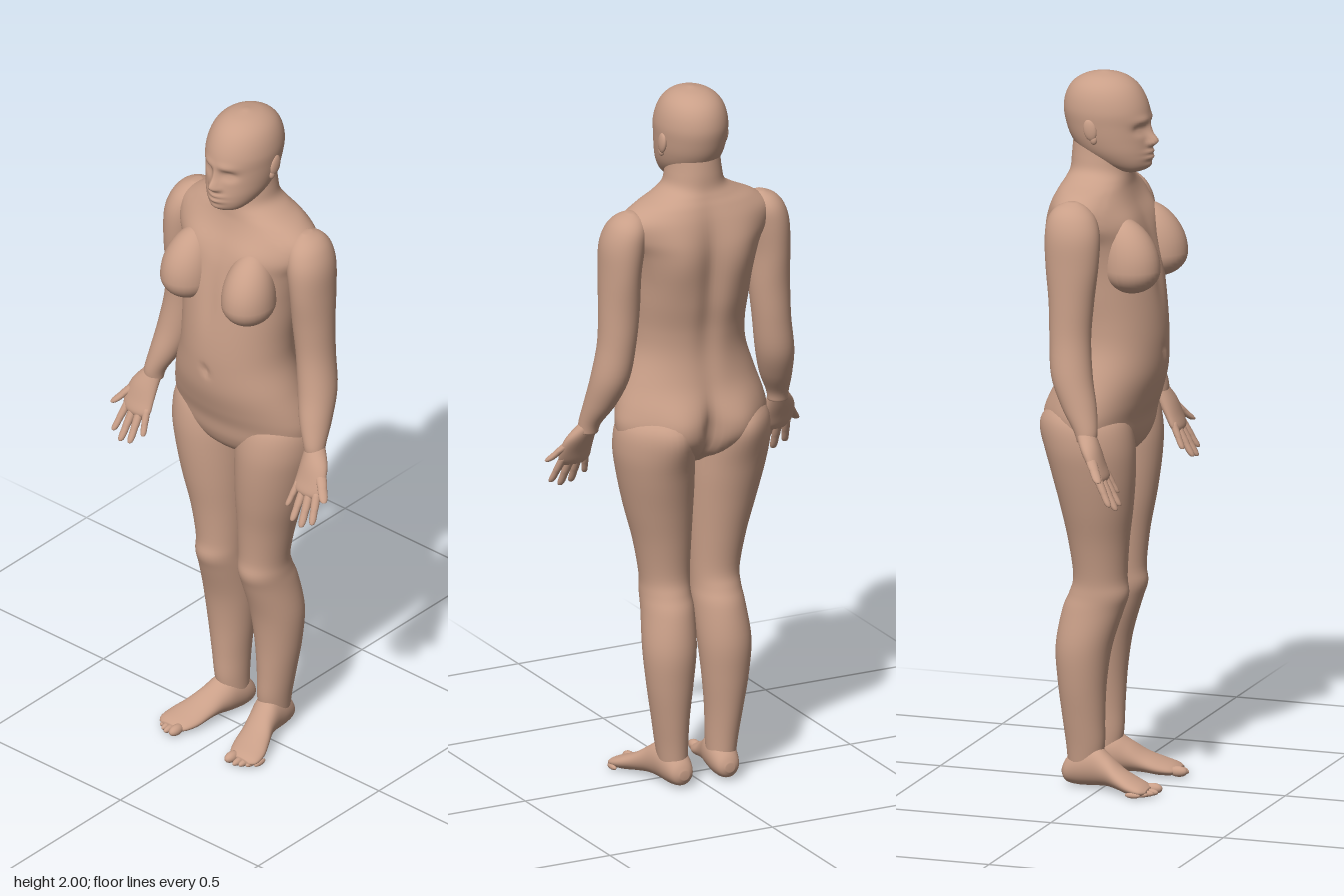
import * as THREE from 'three';

const skin = new THREE.MeshStandardMaterial({ color: 0xc99f88 });
skin.name = 'skin';

// Smooth bell-shaped falloff
const bell = (d, width) => Math.exp(-((d / width) ** 2));

// Smooth loft through elliptical sections [y, centreX, radiusX, zFront, zBack], listed upwards.
// side = -1 mirrors it; deform(point) reshapes each vertex before mirroring.
function loft(sections, { side = 1, deform, around = 40, steps = 5 } = {}) {
  const pos = [], index = [];
  const at = i => sections[Math.max(0, Math.min(sections.length - 1, i))];
  const rows = (sections.length - 1) * steps;
  const p = new THREE.Vector3();
  const add = (x, y, z) => {
    p.set(x, y, z);
    if (deform) deform(p);
    pos.push(p.x * side, p.y, p.z);
  };
  const tri = (a, b, c) => (side > 0 ? index.push(a, b, c) : index.push(a, c, b));
  for (let r = 0; r <= rows; r++) {
    const i = Math.min(Math.floor(r / steps), sections.length - 2), t = r / steps - i;
    const [y, cx, rx, zf, zb] = at(i).map((b, k) => {
      const a = at(i - 1)[k], c = at(i + 1)[k], d = at(i + 2)[k];
      return b + 0.5 * t * (c - a + t * (2 * a - 5 * b + 4 * c - d + t * (3 * (b - c) + d - a)));
    });
    for (let j = 0; j < around; j++) {
      const a = (j / around) * Math.PI * 2;
      add(cx + rx * Math.sin(a), y, (zf + zb) / 2 + ((zf - zb) / 2) * Math.cos(a));
    }
  }
  for (let r = 0; r < rows; r++) {
    for (let j = 0; j < around; j++) {
      const a = r * around + j, b = r * around + ((j + 1) % around);
      tri(a, b, a + around);
      tri(b, b + around, a + around);
    }
  }
  // End caps
  const bottom = pos.length / 3, first = sections[0], last = at(sections.length);
  add(first[1], first[0], (first[3] + first[4]) / 2);
  add(last[1], last[0], (last[3] + last[4]) / 2);
  for (let j = 0; j < around; j++) {
    const k = (j + 1) % around;
    tri(bottom, k, j);
    tri(bottom + 1, rows * around + j, rows * around + k);
  }
  const geo = new THREE.BufferGeometry();
  geo.setAttribute('position', new THREE.Float32BufferAttribute(pos, 3));
  geo.setIndex(index);
  geo.computeVertexNormals();
  return geo;
}

// Hips, back and belly relief, shared by torso and legs
function bodyRelief(p) {
  const x = Math.abs(p.x), { y, z } = p;
  if (z < -0.03) {
    const back = Math.min(1, (-0.03 - z) / 0.06);
    p.z -= back * 0.036 * bell(x - 0.095, 0.08) * bell(y - 1.04, 0.085);
    p.z += back * 0.03 * bell(x, 0.022) * bell(y - 1.0, 0.09);
    p.z += back * 0.016 * bell(x, 0.035) * bell(y - 1.42, 0.22);
    p.z -= back * 0.022 * bell(x - 0.1, 0.07) * bell(y - 1.54, 0.11);
  } else if (z > 0.03) {
    p.z -= 0.01 * bell(x, 0.012) * bell(y - 1.23, 0.014);
    p.z -= 0.008 * bell(x, 0.03) * bell(y - 1.47, 0.1);
    p.z += 0.012 * bell(x - 0.1, 0.06) * bell(y - 1.6, 0.05);
  }
}

// Brow, eye sockets, nose, lips and chin
function faceRelief(p) {
  if (p.z < 0.03) return;
  const x = Math.abs(p.x), y = p.y;
  p.z += 0.006 * bell(x - 0.03, 0.03) * bell(y - 1.875, 0.013)
    - 0.013 * bell(x - 0.036, 0.02) * bell(y - 1.85, 0.014)
    + 0.005 * bell(x - 0.036, 0.012) * bell(y - 1.848, 0.008)
    + 0.022 * bell(x, 0.014) * bell(y - 1.815, 0.016)
    + 0.01 * bell(x, 0.01) * bell(y - 1.84, 0.025)
    + 0.008 * bell(x - 0.013, 0.009) * bell(y - 1.808, 0.008)
    + 0.009 * bell(x, 0.026) * (bell(y - 1.785, 0.007) + bell(y - 1.769, 0.007))
    + 0.006 * bell(x, 0.025) * bell(y - 1.745, 0.012);
}

const torso = [
  [0.925, 0, 0.08, 0.04, -0.06], [0.96, 0, 0.16, 0.08, -0.11], [1.0, 0, 0.21, 0.1, -0.135],
  [1.05, 0, 0.224, 0.11, -0.142], [1.1, 0, 0.216, 0.127, -0.142], [1.17, 0, 0.194, 0.146, -0.132],
  [1.25, 0, 0.17, 0.152, -0.125], [1.32, 0, 0.166, 0.15, -0.13], [1.4, 0, 0.172, 0.142, -0.145],
  [1.48, 0, 0.18, 0.13, -0.152], [1.55, 0, 0.197, 0.112, -0.155], [1.6, 0, 0.225, 0.092, -0.152],
  [1.645, 0, 0.225, 0.07, -0.145], [1.68, 0, 0.18, 0.058, -0.135], [1.705, 0, 0.125, 0.054, -0.125],
  [1.73, 0, 0.088, 0.052, -0.117], [1.77, 0, 0.077, 0.05, -0.114], [1.83, 0, 0.07, 0.04, -0.108],
];
const head = [
  [1.727, 0, 0.03, 0.08, 0.03], [1.736, 0, 0.048, 0.098, 0.0], [1.755, 0, 0.066, 0.109, -0.05],
  [1.785, 0, 0.082, 0.11, -0.092], [1.82, 0, 0.091, 0.107, -0.117], [1.86, 0, 0.096, 0.105, -0.131],
  [1.9, 0, 0.098, 0.103, -0.137], [1.94, 0, 0.09, 0.088, -0.129], [1.97, 0, 0.073, 0.065, -0.109],
  [1.99, 0, 0.045, 0.032, -0.075], [2.0, 0, 0.006, -0.014, -0.028],
];
const leg = [
  [0.05, 0.073, 0.038, -0.01, -0.1], [0.12, 0.077, 0.044, 0.003, -0.105], [0.2, 0.082, 0.052, 0.005, -0.114],
  [0.3, 0.085, 0.065, 0.01, -0.125], [0.4, 0.084, 0.074, 0.025, -0.131], [0.5, 0.078, 0.071, 0.056, -0.115],
  [0.55, 0.077, 0.068, 0.072, -0.095], [0.6, 0.077, 0.069, 0.067, -0.083], [0.7, 0.085, 0.08, 0.075, -0.094],
  [0.8, 0.097, 0.095, 0.09, -0.112], [0.9, 0.108, 0.107, 0.1, -0.133], [0.98, 0.115, 0.112, 0.1, -0.14],
  [1.05, 0.118, 0.1, 0.085, -0.13], [1.1, 0.115, 0.06, 0.05, -0.09],
];
// Foot sections run heel to toe: [z, centreX, radiusX, -bottom, -top]
const foot = [
  [-0.118, 0.07, 0.014, -0.03, -0.055], [-0.105, 0.071, 0.032, -0.012, -0.08], [-0.07, 0.073, 0.042, -0.006, -0.11],
  [-0.02, 0.079, 0.044, -0.009, -0.122], [0.02, 0.09, 0.044, -0.013, -0.098], [0.06, 0.105, 0.049, -0.01, -0.069],
  [0.1, 0.118, 0.054, -0.004, -0.05], [0.135, 0.127, 0.048, -0.004, -0.036], [0.152, 0.128, 0.03, -0.01, -0.026],
];
const arm = [
  [1.03, 0.292, 0.028, 0.056, 0.002], [1.06, 0.288, 0.031, 0.058, -0.01], [1.12, 0.27, 0.044, 0.048, -0.05],
  [1.2, 0.253, 0.053, 0.03, -0.085], [1.3, 0.238, 0.053, 0.02, -0.095], [1.4, 0.231, 0.056, 0.026, -0.1],
  [1.5, 0.229, 0.056, 0.038, -0.11], [1.58, 0.222, 0.06, 0.04, -0.115], [1.63, 0.212, 0.055, 0.026, -0.11],
  [1.66, 0.205, 0.038, 0.0, -0.09], [1.675, 0.2, 0.01, -0.03, -0.06],
];
const palm = [
  [0.925, 0.309, 0.03, 0.093, 0.073], [0.94, 0.309, 0.046, 0.096, 0.062], [0.97, 0.311, 0.048, 0.086, 0.046],
  [1.01, 0.307, 0.043, 0.073, 0.022], [1.045, 0.295, 0.03, 0.057, 0.004], [1.06, 0.289, 0.024, 0.048, 0.002],
];
// Digits: [base, tip, radius]
const digits = {
  thumb: [[0.325, 1.01, 0.045], [0.383, 0.938, 0.095], 0.014],
  indexFinger: [[0.342, 0.95, 0.075], [0.36, 0.868, 0.118], 0.011],
  middleFinger: [[0.319, 0.945, 0.077], [0.328, 0.851, 0.126], 0.0115],
  ringFinger: [[0.297, 0.945, 0.077], [0.295, 0.857, 0.125], 0.011],
  littleFinger: [[0.276, 0.955, 0.075], [0.262, 0.884, 0.108], 0.0095],
};
function digit([base, tip, r], side) {
  const rows = [[1, 0.3], [0.97, 0.65], [0.85, 0.9], [0.6, 0.95], [0.45, 1.05], [0, 1.1]];
  return loft(rows.map(([t, k]) => {
    const [x, y, z] = base.map((b, i) => b + (tip[i] - b) * t);
    return [y, x, r * k, z + r * k, z - r * k];
  }), { side, around: 14, steps: 3 });
}

// Rounded chest form, stretched and sloped towards the collarbone
function breastGeometry() {
  const geo = new THREE.SphereGeometry(1, 32, 24);
  const p = geo.attributes.position;
  for (let i = 0; i < p.count; i++) {
    const y = p.getY(i), up = Math.max(0, y);
    p.setXYZ(i, p.getX(i) * 0.074, y * (y > 0 ? 0.14 : 0.068), p.getZ(i) * 0.083 - 0.03 * up * up);
  }
  geo.computeVertexNormals();
  return geo;
}

export function createModel() {
  const model = new THREE.Group();
  model.name = 'humanFigure';
  const add = (name, geo, parent = model) => {
    const mesh = new THREE.Mesh(geo, skin);
    mesh.name = name;
    parent.add(mesh);
    return mesh;
  };
  const ball = (name, parent, position, scale) => {
    const mesh = add(name, new THREE.SphereGeometry(1, 20, 14), parent);
    mesh.position.set(...position);
    mesh.scale.set(...scale);
    return mesh;
  };

  add('torsoAndNeck', loft(torso, { deform: bodyRelief, around: 96, steps: 6 }));
  add('head', loft(head, { deform: faceRelief, around: 96, steps: 8 }));

  for (const [word, s] of [['left', 1], ['right', -1]]) {
    const half = new THREE.Group();
    half.name = word + 'Limbs';
    model.add(half);
    add(word + 'Leg', loft(leg, { side: s, deform: bodyRelief }), half);
    add(word + 'Foot', loft(foot, { side: s }).rotateX(Math.PI / 2), half);
    add(word + 'Arm', loft(arm, { side: s }), half);
    add(word + 'Palm', loft(palm, { side: s, around: 28 }), half);
    for (const name in digits) add(word + '_' + name, digit(digits[name], s), half);

    // Toes, big to little
    for (let i = 0; i < 5; i++) {
      const r = i ? 0.0105 - i * 0.0006 : 0.015;
      const x = i ? 0.109 + i * 0.0155 : 0.101;
      ball(word + 'Toe', half, [s * x, r + 0.004, 0.154 - i * i * 0.0022], [r, r, 0.026 - i * 0.001]);
    }
    // Ear: shell with a small lobe
    ball(word + 'Ear', half, [s * 0.095, 1.853, -0.032], [0.009, 0.03, 0.019]).rotation.x = -0.2;
    ball(word + 'EarLobe', half, [s * 0.092, 1.826, -0.022], [0.008, 0.014, 0.01]);

    const breast = add(word + 'Breast', breastGeometry(), half);
    breast.position.set(s * 0.108, 1.478, 0.092);
    breast.rotation.y = s * 0.2;
  }
  return model;
}
